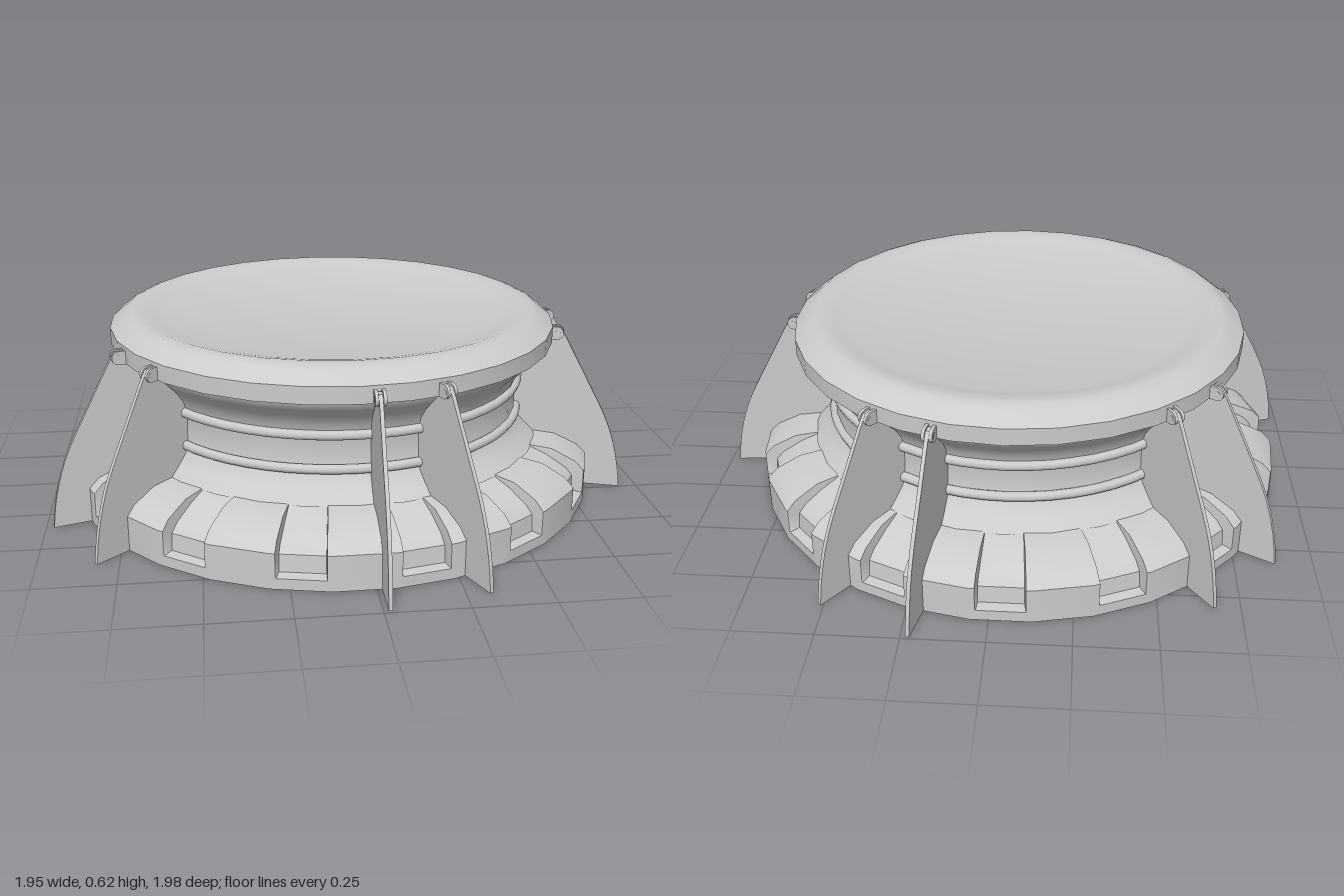
import * as THREE from 'three';
import { toCreasedNormals } from 'three/addons/utils/BufferGeometryUtils.js';

const RAD = Math.PI / 180;
const SIDES = 30;
const material = new THREE.MeshStandardMaterial({ color: 0xcccccc });

function addMesh(parent, name, geometry) {
  const mesh = new THREE.Mesh(geometry, material);
  mesh.name = name;
  parent.add(mesh);
  return mesh;
}

// Profile points are [radius, height], running from the bottom up
function lathe(profile, crease = 0.5) {
  const points = profile.map(([r, y]) => new THREE.Vector2(r, y));
  return toCreasedNormals(new THREE.LatheGeometry(points, SIDES), crease);
}

// Base skirt: a 30-sided ring with 15 channels cut into its shoulder and side
function skirtGeometry() {
  const full = [[0, 0], [0.89, 0], [0.89, 0.035], [0.89, 0.04], [0.89, 0.115], [0.86, 0.145], [0.78, 0.18], [0.69, 0.187]];
  const cut = [[0, 0], [0.89, 0], [0.89, 0.035], [0.857, 0.04], [0.852, 0.095], [0.83, 0.12], [0.765, 0.158], [0.69, 0.187]];
  const steps = [[-6, full], [-4.9, full], [-4.7, cut], [4.7, cut], [4.9, full], [6, full]];
  const columns = [];
  for (let k = 0; k < 15; k++) {
    for (const [offset, profile] of steps) columns.push([offset, (12 + 24 * k + offset) * RAD, profile]);
  }
  const rows = full.length;
  const positions = [], index = [];
  columns.forEach(([offset, angle, profile], c) => {
    // Keep the points on the straight sides of the polygon
    const chord = Math.cos(6 * RAD) / Math.cos(offset * RAD);
    for (const [r, y] of profile) positions.push(r * chord * Math.sin(angle), y, r * chord * Math.cos(angle));
    const next = (c + 1) % columns.length;
    for (let j = 0; j < rows - 1; j++) {
      const a = c * rows + j, b = next * rows + j;
      if (j > 0) index.push(a, b, a + 1);
      index.push(b, b + 1, a + 1);
    }
  });
  const geometry = new THREE.BufferGeometry();
  geometry.setAttribute('position', new THREE.Float32BufferAttribute(positions, 3));
  geometry.setIndex(index);
  return toCreasedNormals(geometry, 0.6);
}

// Thin fin with a bowed outer edge, drawn as radius against height
function finGeometry() {
  const thickness = 0.012;
  const shape = new THREE.Shape();
  shape.moveTo(0.6, 0);
  shape.lineTo(1.008, 0);
  shape.bezierCurveTo(0.998, 0.1, 0.975, 0.2, 0.92, 0.3);
  shape.lineTo(0.795, 0.53);
  shape.lineTo(0.775, 0.56);
  shape.lineTo(0.75, 0.56);
  shape.quadraticCurveTo(0.66, 0.5, 0.62, 0.42);
  shape.lineTo(0.6, 0.2);
  const geometry = new THREE.ExtrudeGeometry(shape, { depth: thickness, bevelEnabled: false, curveSegments: 8 });
  geometry.translate(0, 0, -thickness / 2);
  return toCreasedNormals(geometry, 0.5);
}

// Hinge lug: a rounded plate lying against the rim
function lugGeometry() {
  const shape = new THREE.Shape();
  shape.moveTo(0.73, 0.565);
  shape.lineTo(0.765, 0.565);
  shape.absarc(0.765, 0.543, 0.022, Math.PI / 2, -Math.PI / 2, true);
  shape.lineTo(0.73, 0.521);
  return new THREE.ExtrudeGeometry(shape, { depth: 0.01, bevelEnabled: false, curveSegments: 6 });
}

export function createModel() {
  const model = new THREE.Group();
  model.name = 'pedestal';
  const body = new THREE.Group();
  body.name = 'body';
  body.position.set(-0.035, 0, -0.018);
  model.add(body);

  addMesh(body, 'baseSkirt', skirtGeometry());

  // Concave neck with two raised bands
  addMesh(body, 'neck', lathe([
    [0.71, 0.183], [0.672, 0.22], [0.645, 0.25], [0.635, 0.28], [0.633, 0.38],
    [0.645, 0.42], [0.67, 0.455], [0.7, 0.485], [0.72, 0.505], [0.725, 0.53],
  ], 0.8));
  for (const y of [0.275, 0.385]) {
    const band = new THREE.TorusGeometry(0.639, 0.016, 8, SIDES * 2);
    band.rotateX(Math.PI / 2);
    addMesh(body, 'neckBand', band).position.y = y;
  }

  // Top plate: straight rim, chamfer and a shallow dished centre
  addMesh(body, 'topPlate', lathe([
    [0.7, 0.52], [0.75, 0.522], [0.75, 0.577], [0.705, 0.612], [0.68, 0.622],
    [0.65, 0.622], [0.61, 0.612], [0.57, 0.601], [0, 0.6],
  ], 0.7));

  // Five pairs of splayed fins, each hung from two lugs and a pin
  const fin = finGeometry(), lug = lugGeometry();
  const pin = new THREE.CylinderGeometry(0.01, 0.01, 0.036, 8);
  pin.rotateX(Math.PI / 2);
  for (let k = 0; k < 5; k++) {
    for (const side of [-1, 1]) {
      const assembly = new THREE.Group();
      assembly.name = 'finAssembly';
      assembly.rotation.y = (12 + 72 * k + 12 * side - 90) * RAD;
      body.add(assembly);
      const offset = 0.055 * side;
      addMesh(assembly, 'fin', fin).position.z = offset;
      addMesh(assembly, 'hingePin', pin).position.set(0.768, 0.543, offset);
      for (const z of [-0.017, 0.007]) addMesh(assembly, 'hingeLug', lug).position.z = offset + z;
    }
  }
  return model;
}
